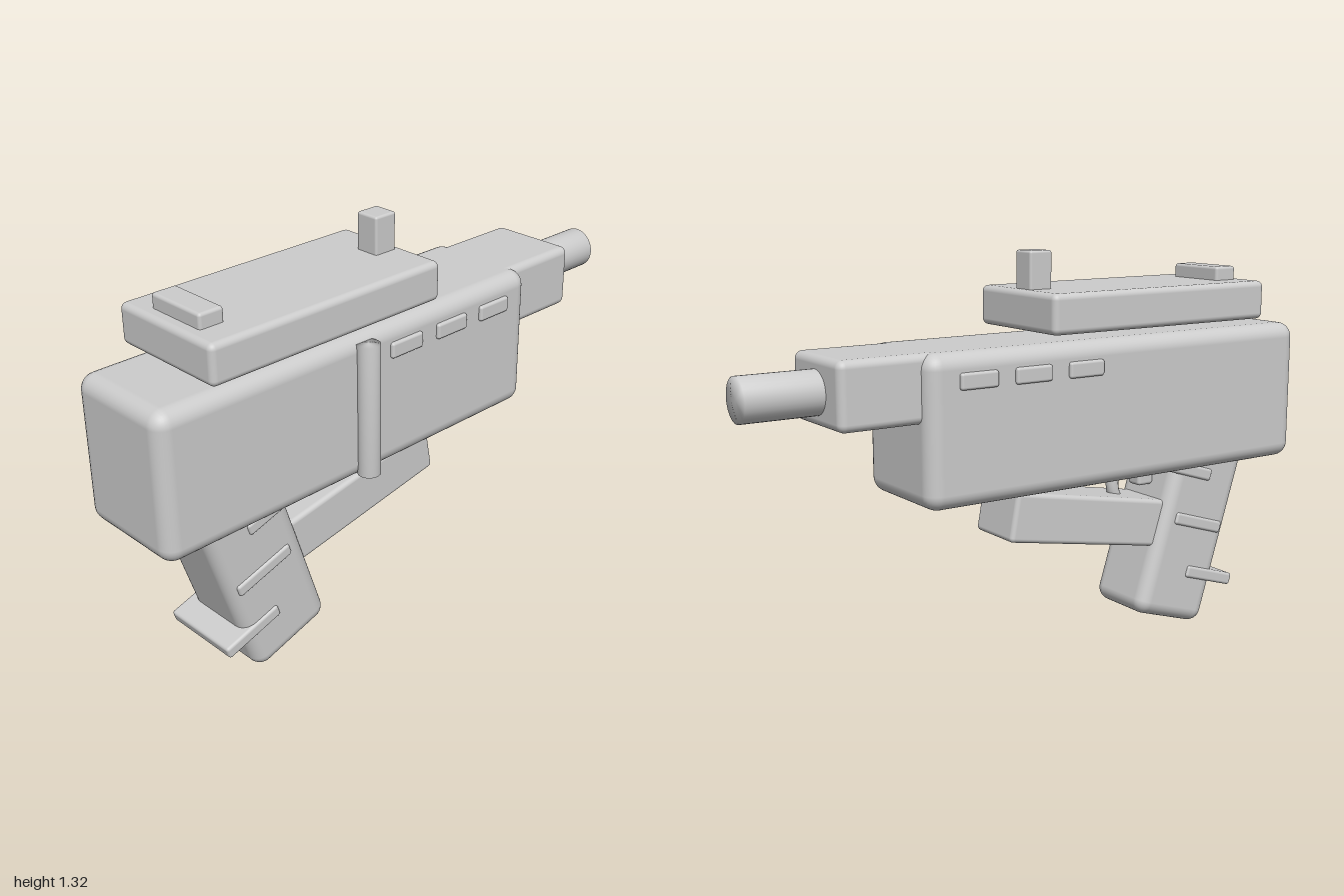
import * as THREE from 'three';
import { RoundedBoxGeometry } from 'three/addons/geometries/RoundedBoxGeometry.js';
import { mergeVertices } from 'three/addons/utils/BufferGeometryUtils.js';

export function createModel() {
  const model = new THREE.Group();
  model.name = 'toyBlaster';
  const grey = new THREE.MeshStandardMaterial({ color: 0xcccccc });
  grey.name = 'light grey';
  const midX = -0.02; // the body sits slightly off centre because of the side rod

  function add(name, geometry, x, y, z, tilt = 0) {
    const mesh = new THREE.Mesh(geometry, grey);
    mesh.name = name;
    mesh.position.set(x, y, z);
    mesh.rotation.x = tilt;
    model.add(mesh);
    return mesh;
  }

  // Rounded block on the centre line: width, height, depth, edge radius
  function block(name, w, h, d, r, y, z, tilt = 0) {
    return add(name, new RoundedBoxGeometry(w, h, d, 4, r), midX, y, z, tilt);
  }

  // Cylinder whose shading runs smoothly over the rims
  function softCylinder(radius, length) {
    const g = new THREE.CylinderGeometry(radius, radius, length, 32);
    g.deleteAttribute('normal');
    g.deleteAttribute('uv');
    const merged = mergeVertices(g);
    merged.computeVertexNormals();
    return merged;
  }

  // Body, nose and barrel
  block('body', 0.39, 0.475, 1.49, 0.05, 0.8125, 0.255);
  block('nose', 0.305, 0.21, 0.34, 0.025, 0.945, -0.585);
  add('barrel', softCylinder(0.069, 0.35), midX, 0.943, -0.825, Math.PI / 2);

  // Top rail with its two sights
  block('topRail', 0.418, 0.128, 0.875, 0.02, 1.14, 0.385);
  block('frontSight', 0.084, 0.15, 0.084, 0.008, 1.25, 0.015);
  block('rearSight', 0.217, 0.08, 0.085, 0.01, 1.21, 0.737);

  // Vents, each one running through to both sides
  for (const z of [0.08, -0.12, -0.317]) {
    block('vent', 0.413, 0.052, 0.133, 0.009, 0.965, z);
  }

  // Rod on the left flank... upright along the body side
  add('sideRod', softCylinder(0.037, 0.437), 0.187, 0.808, 0.25);

  // Raked grip with three ridges
  const rake = 0.305;
  const gripLength = 0.65;
  block('grip', 0.265, gripLength, 0.3, 0.045,
    0.04 + Math.cos(rake) * gripLength / 2,
    0.505 + Math.sin(rake) * gripLength / 2, rake);
  for (const [y, z] of [[0.17, 0.675], [0.37, 0.62], [0.565, 0.57]]) {
    block('gripRidge', 0.28, 0.042, 0.215, 0.01, y, z, rake);
  }

  // Slanted bar reaching forward from the grip
  block('lowerBar', 0.21, 0.163, 0.65, 0.015, 0.435, 0.19, 0.18);

  // Trigger and the loop around it
  block('trigger', 0.06, 0.11, 0.065, 0.012, 0.56, 0.468);
  const guard = add('triggerGuard', new THREE.TorusGeometry(0.105, 0.022, 12, 32), midX, 0.525, 0.447);
  guard.rotation.y = Math.PI / 2;

  return model;
}
